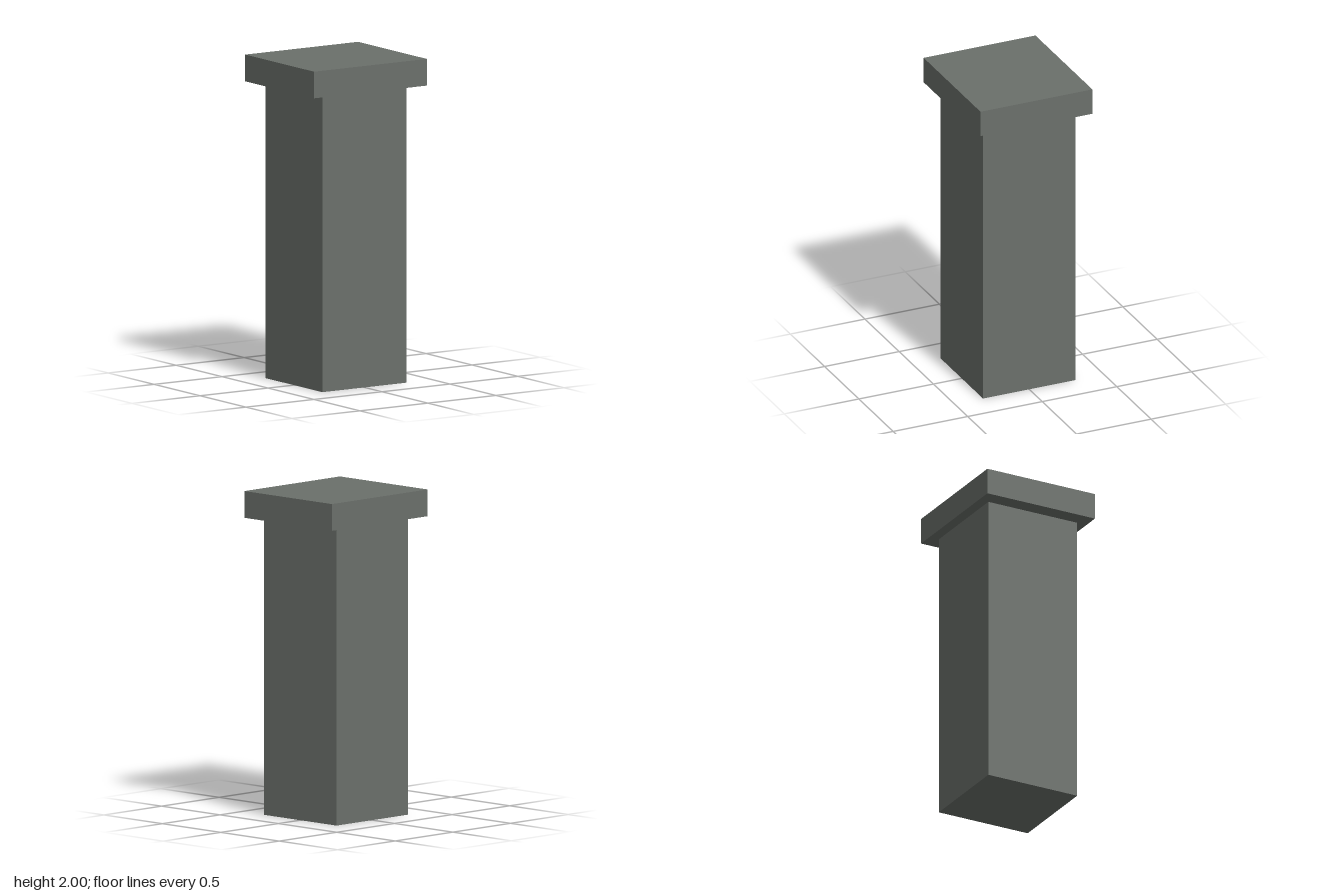
import * as THREE from 'three';

export function createModel() {
  const group = new THREE.Group();
  group.name = 'pillar';
  const stone = new THREE.MeshStandardMaterial({ color: 0x6b706b, flatShading: true });

  // Box standing on height y
  const block = (name, width, height, depth, y) => {
    const mesh = new THREE.Mesh(new THREE.BoxGeometry(width, height, depth), stone);
    mesh.name = name;
    mesh.position.y = y + height / 2;
    group.add(mesh);
  };

  const shaftHeight = 1.835;
  block('shaft', 0.62, shaftHeight, 0.62, 0);
  // Overhanging slab, wider from side to side than front to back
  block('cap', 0.83, 2 - shaftHeight, 0.75, shaftHeight);

  return group;
}
